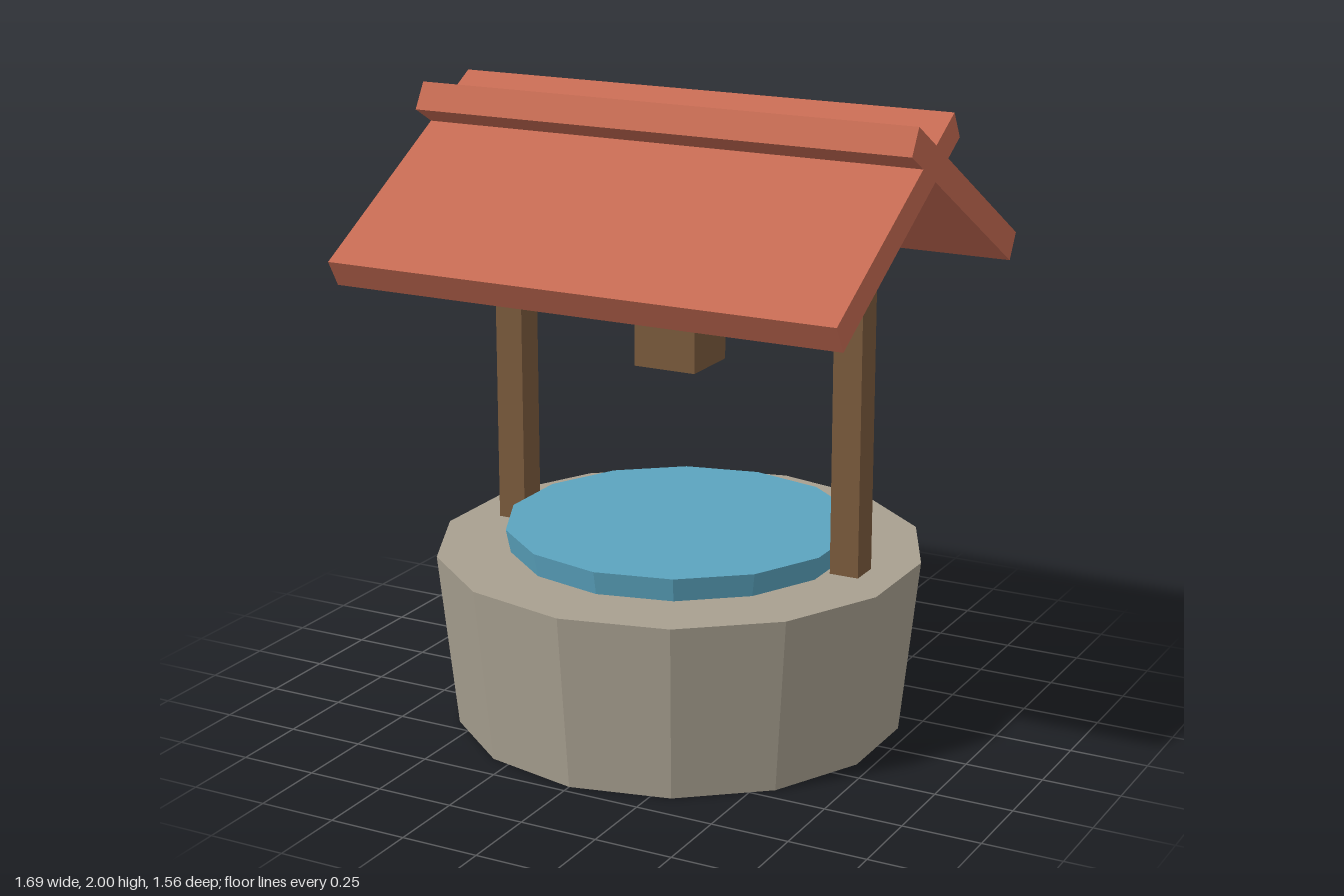
import * as THREE from 'three';

const mat = (color) => new THREE.MeshStandardMaterial({ color, flatShading: true });

export function createModel() {
  const model = new THREE.Group();
  const stone = mat(0xa8a090);
  const water = mat(0x5ba4bf);
  const wood = mat(0x7a5a3c);
  const tile = mat(0xc46a52);

  const add = (name, geometry, material, x, y, z) => {
    const mesh = new THREE.Mesh(geometry, material);
    mesh.name = name;
    mesh.position.set(x, y, z);
    model.add(mesh);
    return mesh;
  };

  // Fourteen-sided stone wall, wider at the top, with the water disc on it
  add('stoneWall', new THREE.CylinderGeometry(0.78, 0.72, 0.565, 14), stone, 0, 0.2825, 0);
  add('water', new THREE.CylinderGeometry(0.56, 0.54, 0.1, 14), water, 0, 0.59, 0);

  // Posts and the crossbeam that joins them
  for (const [name, side] of [['leftPost', 1], ['rightPost', -1]]) {
    add(name, new THREE.BoxGeometry(0.095, 1.05, 0.1), wood, side * 0.597, 1.075, 0);
  }
  add('crossbeam', new THREE.BoxGeometry(1.37, 0.085, 0.09), wood, 0, 1.567, 0);

  // Winding drum and bucket
  const drum = add('windingDrum', new THREE.CylinderGeometry(0.064, 0.064, 0.31, 8), wood, 0, 1.432, 0);
  drum.rotation.z = Math.PI / 2;
  add('bucket', new THREE.BoxGeometry(0.21, 0.19, 0.21), wood, 0, 1.256, 0);

  // Two roof slabs crossing at the ridge
  for (const [name, side] of [['frontRoof', 1], ['backRoof', -1]]) {
    const slab = add(name, new THREE.BoxGeometry(1.69, 0.094, 0.938), tile, 0, 1.725, side * 0.25);
    slab.rotation.x = side * Math.PI / 6;
  }

  return model;
}
